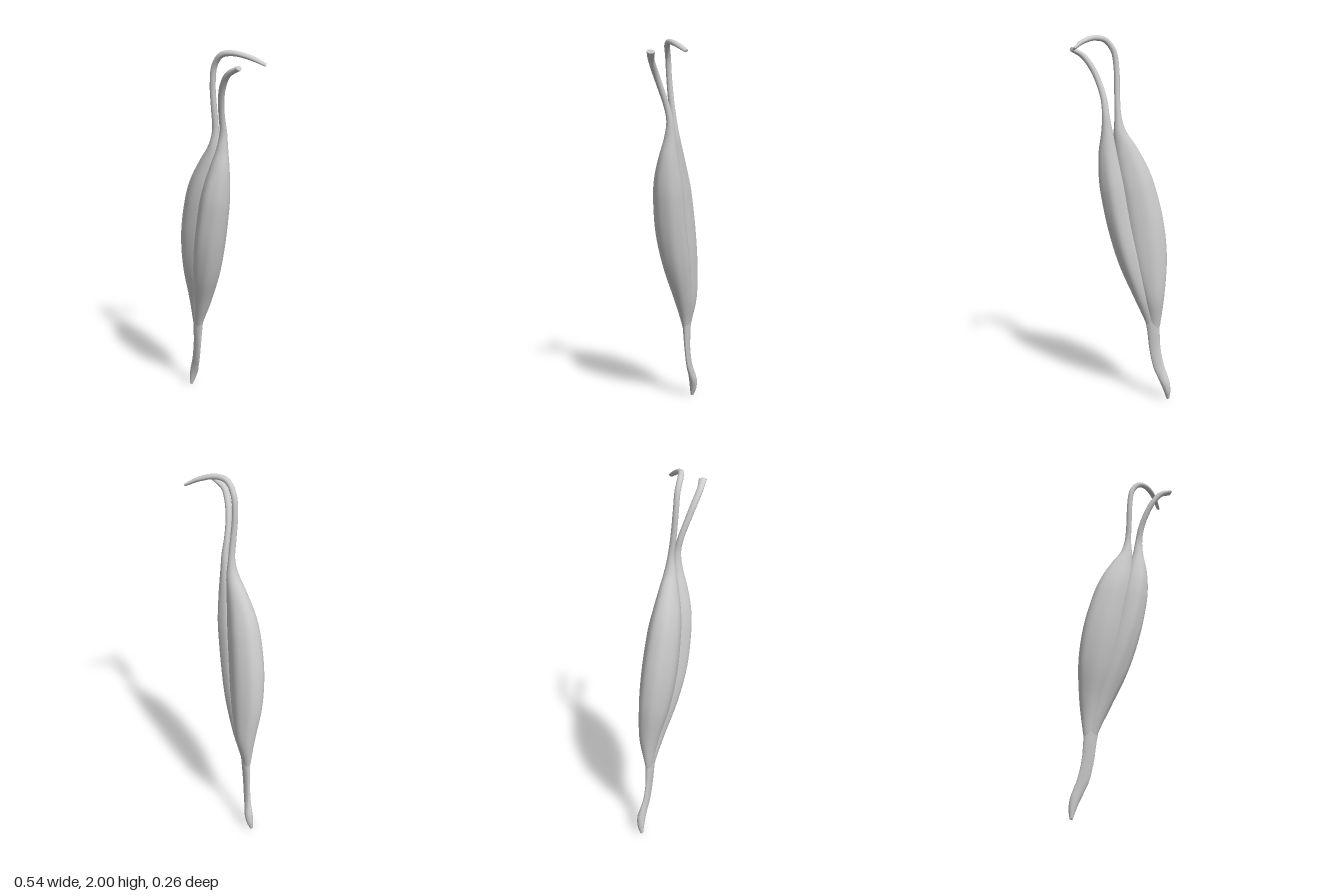
import * as THREE from 'three';

const material = new THREE.MeshStandardMaterial({ color: 0xcccccc, roughness: 0.7 });
const SIDES = 40;
const STEPS = 8;

// Sweep an ellipse through stations [x, y, z, half width, half depth].
// ridges gives the depth of the lengthwise fibre grooves on the thick part.
function sweep(name, stations, ridges = 0, phase = 0) {
  const path = new THREE.CatmullRomCurve3(stations.map(s => new THREE.Vector3(s[0], s[1], s[2])));
  const radii = new THREE.CatmullRomCurve3(
    stations.map((s, i) => new THREE.Vector3(s[3], s[4], i * 0.05)), false, 'catmullrom', 0.5);
  const rings = (stations.length - 1) * STEPS;
  const pos = [], index = [];
  const across = new THREE.Vector3(), depth = new THREE.Vector3();
  const front = new THREE.Vector3(0, 0, 1);

  for (let i = 0; i <= rings; i++) {
    const t = i / rings;
    const p = path.getPoint(t), dir = path.getTangent(t), r = radii.getPoint(t);
    across.crossVectors(dir, front).normalize();
    depth.crossVectors(across, dir);
    const swell = THREE.MathUtils.smoothstep(r.y, 0.03, 0.08);
    for (let j = 0; j < SIDES; j++) {
      const a = j / SIDES * Math.PI * 2;
      const k = 1 + ridges * swell *
        (Math.sin(7 * a + phase + 2 * p.y) + 0.6 * Math.sin(4 * a - phase + 3 * p.y));
      const q = p.clone()
        .addScaledVector(across, Math.cos(a) * r.x * k)
        .addScaledVector(depth, Math.sin(a) * r.y * k);
      pos.push(q.x, q.y, q.z);
    }
  }
  for (let i = 0; i < rings; i++) {
    for (let j = 0; j < SIDES; j++) {
      const a = i * SIDES + j, b = i * SIDES + (j + 1) % SIDES;
      index.push(a, a + SIDES, b, b, a + SIDES, b + SIDES);
    }
  }
  // End caps with their own vertices, so the rims stay sharp
  for (const end of [0, rings]) {
    const c = path.getPoint(end / rings), base = pos.length / 3;
    pos.push(c.x, c.y, c.z);
    for (let j = 0; j < SIDES; j++) {
      const o = (end * SIDES + j) * 3;
      pos.push(pos[o], pos[o + 1], pos[o + 2]);
    }
    for (let j = 0; j < SIDES; j++) {
      const a = base + 1 + j, b = base + 1 + (j + 1) % SIDES;
      if (end) index.push(base, b, a);
      else index.push(base, a, b);
    }
  }
  const geometry = new THREE.BufferGeometry();
  geometry.setAttribute('position', new THREE.Float32BufferAttribute(pos, 3));
  geometry.setIndex(index);
  geometry.computeVertexNormals();
  const mesh = new THREE.Mesh(geometry, material);
  mesh.name = name;
  return mesh;
}

export function createModel() {
  const group = new THREE.Group();
  group.name = 'twoHeadedMuscle';

  // Short head: wide belly running into the tendon that hooks over at the top
  group.add(sweep('shortHead', [
    [-0.182, 0.36, 0.005, 0.018, 0.012],
    [-0.185, 0.44, 0.006, 0.029, 0.02],
    [-0.175, 0.60, 0.002, 0.060, 0.052],
    [-0.150, 0.80, 0.022, 0.099, 0.079],
    [-0.120, 1.00, 0.036, 0.110, 0.088],
    [-0.080, 1.20, 0.040, 0.100, 0.082],
    [-0.052, 1.30, 0.038, 0.088, 0.070],
    [-0.022, 1.40, 0.030, 0.064, 0.052],
    [0.008, 1.50, 0.021, 0.034, 0.033],
    [0.018, 1.59, 0.020, 0.018, 0.018],
    [0.022, 1.70, 0.032, 0.015, 0.016],
    [0.024, 1.82, 0.042, 0.015, 0.015],
    [0.040, 1.92, 0.042, 0.015, 0.015],
    [0.083, 1.974, 0.032, 0.015, 0.015],
    [0.140, 1.985, 0.000, 0.014, 0.015],
    [0.200, 1.965, -0.060, 0.012, 0.015],
    [0.243, 1.930, -0.122, 0.006, 0.011],
  ], 0.016, 0.5));

  // Long head: narrower belly running into the tendon that leans outward
  group.add(sweep('longHead', [
    [-0.172, 0.36, 0.006, 0.016, 0.011],
    [-0.164, 0.44, 0.008, 0.026, 0.019],
    [-0.118, 0.60, 0.010, 0.048, 0.048],
    [-0.057, 0.80, 0.026, 0.073, 0.076],
    [-0.002, 1.00, 0.040, 0.078, 0.086],
    [0.038, 1.20, 0.041, 0.077, 0.082],
    [0.055, 1.30, 0.038, 0.068, 0.071],
    [0.068, 1.40, 0.030, 0.053, 0.052],
    [0.076, 1.50, 0.020, 0.031, 0.031],
    [0.082, 1.59, 0.018, 0.020, 0.019],
    [0.091, 1.67, 0.034, 0.017, 0.016],
    [0.114, 1.75, 0.055, 0.016, 0.016],
    [0.150, 1.83, 0.072, 0.016, 0.017],
    [0.200, 1.895, 0.077, 0.015, 0.017],
    [0.260, 1.930, 0.058, 0.012, 0.021],
  ], 0.018, 2.1));

  // Shared lower tendon, flattened and bent to a wedge at the foot
  group.add(sweep('lowerTendon', [
    [-0.261, 0.004, 0.000, 0.008, 0.009],
    [-0.256, 0.05, -0.008, 0.018, 0.019],
    [-0.244, 0.10, -0.011, 0.025, 0.022],
    [-0.225, 0.15, -0.006, 0.028, 0.017],
    [-0.206, 0.20, 0.000, 0.030, 0.014],
    [-0.186, 0.30, 0.005, 0.031, 0.014],
    [-0.177, 0.40, 0.006, 0.034, 0.019],
    [-0.168, 0.48, 0.006, 0.036, 0.020],
    [-0.155, 0.56, 0.006, 0.020, 0.014],
  ]));

  return group;
}
